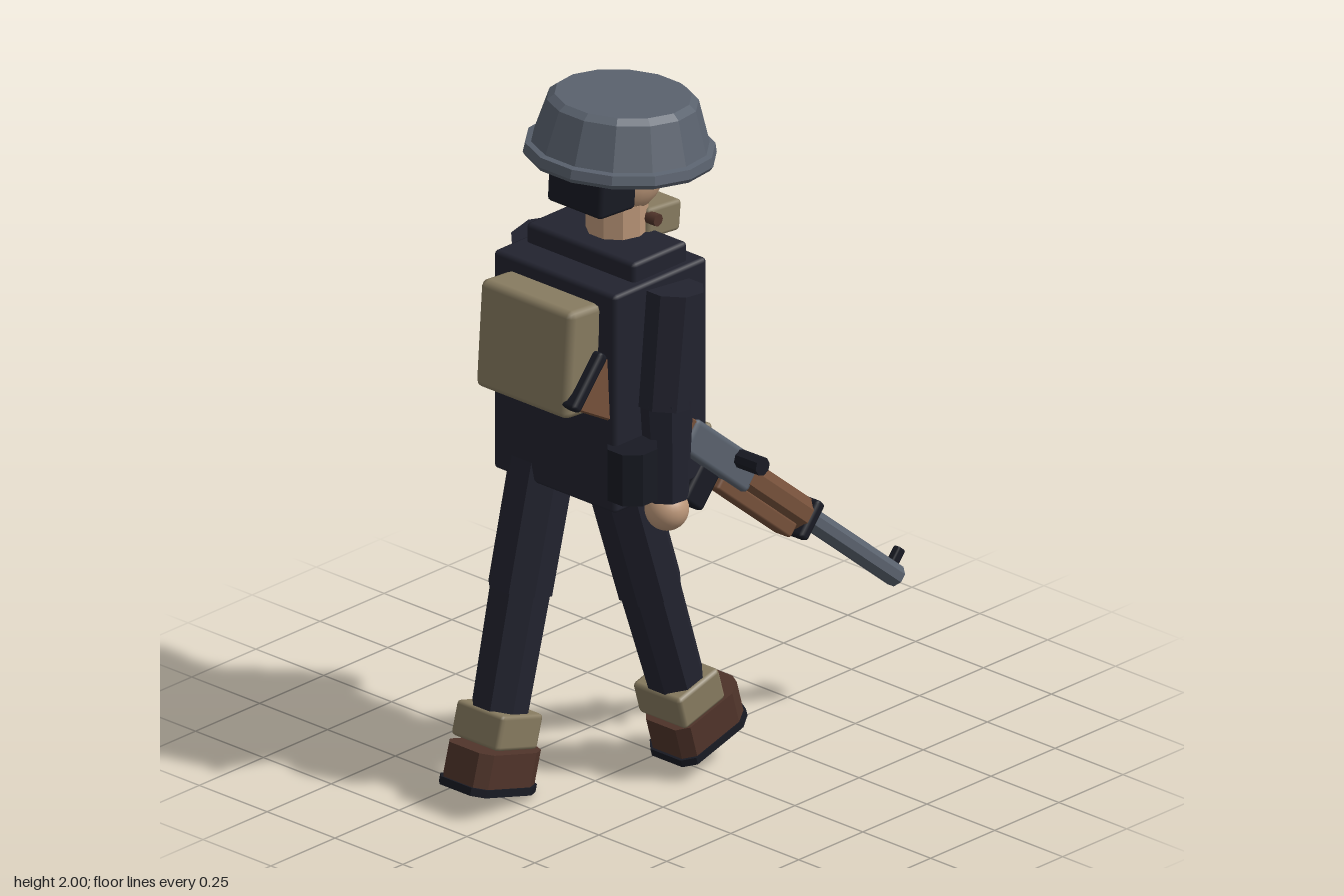
import * as THREE from 'three';
import { RoundedBoxGeometry } from 'three/addons/geometries/RoundedBoxGeometry.js';

const V = (x, y, z) => new THREE.Vector3(x, y, z);

function material(name, color) {
  const m = new THREE.MeshStandardMaterial({ color });
  m.name = name;
  return m;
}

// Gives a geometry faceted normals
function faceted(geometry) {
  const g = geometry.index ? geometry.toNonIndexed() : geometry;
  g.computeVertexNormals();
  return g;
}

export function createModel() {
  const navy = material('navy cloth', 0x22232f);
  const black = material('black', 0x181a23);
  const tan = material('tan canvas', 0x877b60);
  const leather = material('dark leather', 0x50342a);
  const wood = material('wood', 0x75503a);
  const steel = material('blue grey steel', 0x59616d);
  const skin = material('skin', 0xbd987a);
  const red = material('red cloth', 0x88363c);

  const model = new THREE.Group();
  model.name = 'walkingSoldier';

  function add(name, geometry, mat, pos, rotZ = 0, parent = model) {
    const mesh = new THREE.Mesh(geometry, mat);
    mesh.name = name;
    mesh.position.set(...pos);
    mesh.rotation.z = rotZ;
    parent.add(mesh);
    return mesh;
  }
  function box(name, size, mat, pos, rotZ = 0, bevel = 0.012, parent = model) {
    return add(name, new RoundedBoxGeometry(...size, 1, bevel), mat, pos, rotZ, parent);
  }
  function ball(name, r, mat, pos) {
    return add(name, new THREE.SphereGeometry(r, 24, 16), mat, pos);
  }
  // Eight-sided tapered limb running from a to b
  function limb(name, a, b, ra, rb, mat) {
    const d = b.clone().sub(a);
    const g = faceted(new THREE.CylinderGeometry(rb, ra, d.length(), 8).rotateY(Math.PI / 8));
    const mesh = add(name, g, mat, a.clone().add(b).multiplyScalar(0.5).toArray());
    mesh.quaternion.setFromUnitVectors(V(0, 1, 0), d.normalize());
    return mesh;
  }
  // Plan outline of a boot, square at the heel and clipped round at the toe, extruded upwards
  function bootSlab(length, width, height) {
    const l = length / 2, w = width / 2;
    const s = new THREE.Shape([
      [-l, -w * 0.65], [-l + 0.03, -w], [l - 0.06, -w], [l - 0.015, -w * 0.7], [l, -w * 0.35],
      [l, w * 0.35], [l - 0.015, w * 0.7], [l - 0.06, w], [-l + 0.03, w], [-l, w * 0.65],
    ].map(([x, y]) => new THREE.Vector2(x, y)));
    const g = new THREE.ExtrudeGeometry(s, { depth: height, bevelEnabled: false });
    return faceted(g.translate(0, 0, -height / 2).rotateX(-Math.PI / 2));
  }

  // Torso, collar and backpack
  box('torso', [0.36, 0.64, 0.45], navy, [-0.23, 1.23, 0]);
  box('collar', [0.21, 0.08, 0.4], navy, [-0.205, 1.565, 0]);
  box('backpack', [0.125, 0.31, 0.34], tan, [-0.47, 1.36, 0], -0.07, 0.02);
  for (const z of [-0.145, 0, 0.145]) {
    box('beltPouch', [0.07, 0.13, 0.11], tan, [-0.035, 0.975, z]);
  }
  add('canteen', faceted(new THREE.CylinderGeometry(0.072, 0.072, 0.15, 8).rotateY(Math.PI / 8)),
    black, [-0.37, 1.035, 0.25]);

  // Knife sheath slanting across the chest
  const sheath = new THREE.Group();
  sheath.name = 'knifeSheath';
  sheath.position.set(-0.035, 1.42, -0.13);
  sheath.rotation.set(-0.8, 0, -0.12);
  model.add(sheath);
  box('sheathBody', [0.04, 0.13, 0.06], leather, [0, 0.025, 0], 0, 0.006, sheath);
  add('sheathTip', faceted(new THREE.ConeGeometry(0.04, 0.08, 4).rotateY(Math.PI / 4).rotateX(Math.PI)
    .scale(0.7, 1, 0.9)), leather, [0, -0.08, 0], 0, sheath);

  // Head, neck and chin guard
  ball('head', 0.112, skin, [-0.145, 1.765, 0]);
  add('neck', faceted(new THREE.CylinderGeometry(0.085, 0.085, 0.13, 10)), skin, [-0.165, 1.63, 0]);
  box('chinGuard', [0.13, 0.09, 0.17], tan, [-0.067, 1.622, 0], -0.09);
  add('chinPin', new THREE.CylinderGeometry(0.018, 0.018, 0.22, 8).rotateX(Math.PI / 2), leather,
    [-0.12, 1.645, 0]);
  box('backHair', [0.14, 0.13, 0.2], black, [-0.262, 1.77, 0], -0.06);
  add('visor', faceted(new THREE.CylinderGeometry(0.1, 0.1, 0.035, 12).scale(0.75, 1, 1.05)), black,
    [-0.07, 1.785, 0], -0.22);

  // Wide-brimmed helmet
  const helmetProfile = [[0, 0], [0.255, 0], [0.263, 0.012], [0.258, 0.038], [0.242, 0.042],
    [0.206, 0.162], [0.186, 0.178], [0, 0.178]].map(([x, y]) => new THREE.Vector2(x, y));
  add('helmet', faceted(new THREE.LatheGeometry(helmetProfile, 14)), steel, [-0.155, 1.812, 0], -0.08);

  // Arms: right hangs down, left swings forward
  const arms = [
    { side: 'right', shoulder: V(-0.205, 1.52, 0.242), elbow: V(-0.24, 1.19, 0.242), hand: V(-0.235, 0.88, 0.25) },
    { side: 'left', shoulder: V(-0.2, 1.52, -0.242), elbow: V(-0.125, 1.19, -0.242), hand: V(-0.005, 0.9, -0.25) },
  ];
  for (const { side, shoulder, elbow, hand } of arms) {
    limb(side + 'UpperArm', shoulder, elbow, 0.09, 0.086, navy);
    limb(side + 'Forearm', elbow.clone().lerp(shoulder, 0.06), hand.clone().lerp(elbow, 0.12), 0.083, 0.062, navy);
    ball(side + 'Hand', 0.06, skin, hand.toArray());
  }
  const left = arms[1];
  limb('armband', left.shoulder.clone().lerp(left.elbow, 0.47), left.shoulder.clone().lerp(left.elbow, 0.74),
    0.104, 0.102, red);

  // Legs: right one forward with toe up, left one back with heel up
  const legs = [
    { side: 'right', z: 0.12, hip: [-0.29, 0.97], knee: [-0.165, 0.59], ankle: [-0.05, 0.245], foot: [0.02, 0.145], tilt: 0.28 },
    { side: 'left', z: -0.12, hip: [-0.32, 0.97], knee: [-0.415, 0.59], ankle: [-0.505, 0.22], foot: [-0.522, 0.1], tilt: -0.27 },
  ];
  for (const { side, z, hip, knee, ankle, foot, tilt } of legs) {
    limb(side + 'Thigh', V(...hip, z), V(...knee, z), 0.094, 0.092, navy);
    limb(side + 'Shin', V(...knee, z), V(...ankle, z), 0.086, 0.08, navy);
    box(side + 'Gaiter', [0.165, 0.1, 0.175], tan, [...ankle, z], tilt);
    const boot = new THREE.Group();
    boot.name = side + 'Boot';
    boot.position.set(...foot, z);
    boot.rotation.z = tilt;
    model.add(boot);
    add('bootUpper', bootSlab(0.26, 0.165, 0.1), leather, [0, 0.01, 0], 0, boot);
    add('bootSole', bootSlab(0.275, 0.172, 0.022), black, [0, -0.047, 0], 0, boot);
  }

  // Rifle, built along its own x axis with the muzzle at +x
  const rifle = new THREE.Group();
  rifle.name = 'rifle';
  rifle.position.set(-0.012, 0.957, 0.205);
  rifle.rotation.set(0, -0.083, -0.708, 'ZYX');
  model.add(rifle);
  const stockShape = new THREE.Shape([[-0.57, -0.11], [-0.57, 0.045], [-0.3, 0.04], [-0.12, 0.04],
    [-0.12, -0.045], [-0.26, -0.045]].map(([x, y]) => new THREE.Vector2(x, y)));
  const stockGeometry = new THREE.ExtrudeGeometry(stockShape, {
    depth: 0.06, bevelThickness: 0.008, bevelSize: 0.006, bevelSegments: 1 });
  add('stock', stockGeometry.translate(0, 0, -0.03), wood, [0, 0, 0], 0, rifle);
  box('buttPlate', [0.035, 0.175, 0.09], black, [-0.582, -0.034, 0], 0, 0.012, rifle);
  box('receiver', [0.3, 0.1, 0.095], steel, [0, 0, 0], 0, 0.016, rifle);
  box('magazine', [0.085, 0.12, 0.06], black, [0, -0.095, 0], 0, 0.012, rifle);
  box('foreStock', [0.34, 0.045, 0.065], wood, [0.22, -0.058, 0], 0, 0.008, rifle);
  const alongX = (r, length, sides) =>
    faceted(new THREE.CylinderGeometry(r, r, length, sides).rotateY(Math.PI / sides).rotateZ(-Math.PI / 2));
  add('handguard', alongX(0.05, 0.29, 8), wood, [0.275, -0.003, 0], 0, rifle);
  box('barrelBand', [0.035, 0.115, 0.1], black, [0.42, -0.01, 0], 0, 0.012, rifle);
  add('barrel', alongX(0.032, 0.44, 8), steel, [0.628, 0, 0], 0, rifle);
  box('frontSight', [0.03, 0.05, 0.025], black, [0.815, 0.045, 0], 0, 0.006, rifle);
  add('boltHandle', faceted(new THREE.CylinderGeometry(0.026, 0.026, 0.13, 8).rotateX(Math.PI / 2)), black,
    [0.062, 0.022, 0.068], 0, rifle);

  return model;
}
